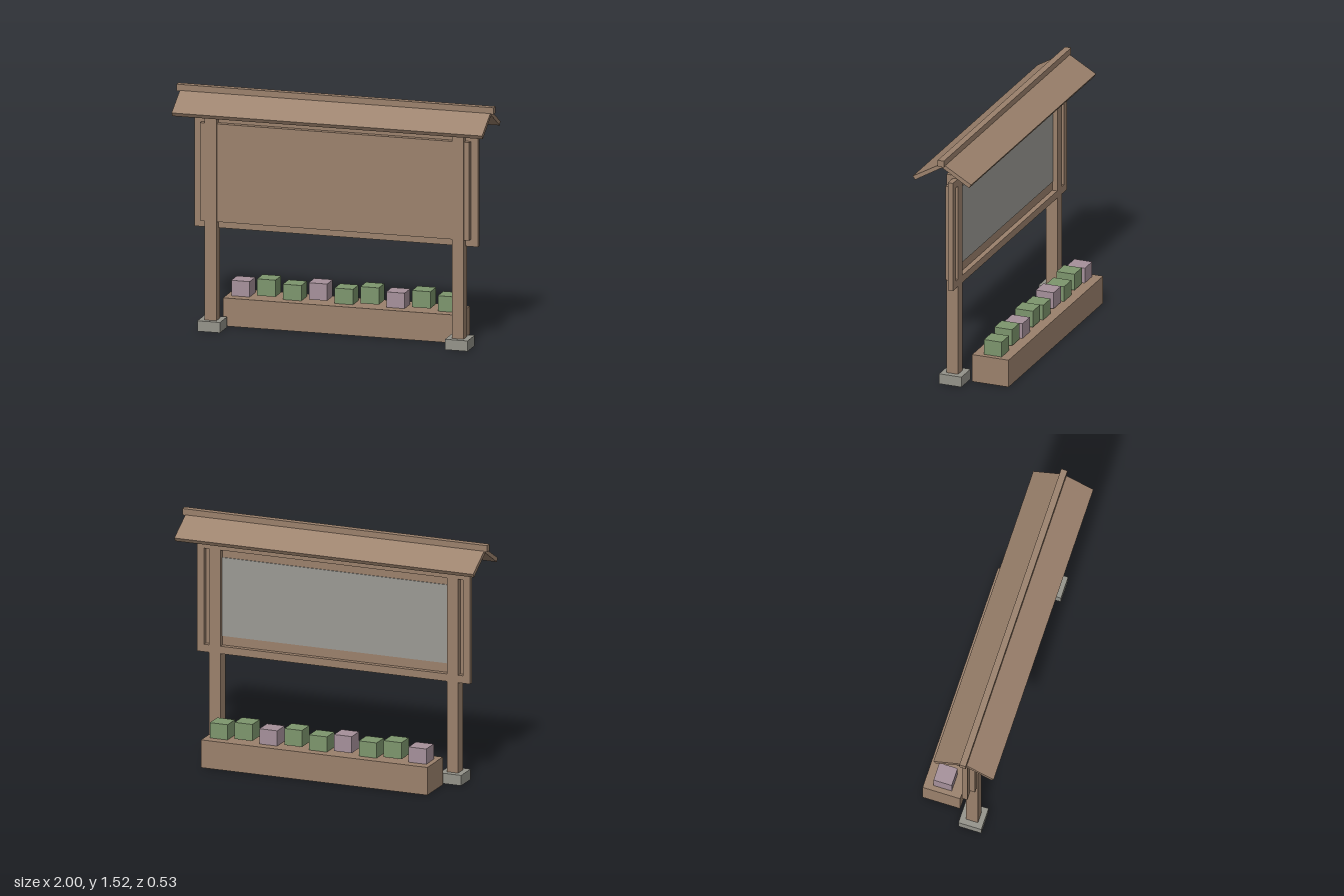
import * as THREE from 'three';

function material(name, color) {
  const m = new THREE.MeshStandardMaterial({ color });
  m.name = name;
  return m;
}

export function createModel() {
  const model = new THREE.Group();
  model.name = 'noticeBoard';
  const wood = material('brown wood', 0x9b816c);
  const stone = material('grey stone', 0x94938a);
  const sheet = material('grey sheet', 0x9b9a94);
  const leaf = material('leaf green', 0x7d966d);
  const bloom = material('dusty pink', 0xa6919b);

  // Box given by its lower and upper limits on each axis
  function box(name, mat, [x0, x1], [y0, y1], [z0, z1]) {
    const mesh = new THREE.Mesh(new THREE.BoxGeometry(x1 - x0, y1 - y0, z1 - z0), mat);
    mesh.position.set((x0 + x1) / 2, (y0 + y1) / 2, (z0 + z1) / 2);
    mesh.name = name;
    model.add(mesh);
    return mesh;
  }

  // Posts, footings and frame stiles on both sides
  for (const [side, s] of [['left', 1], ['right', -1]]) {
    const span = (a, b) => (s > 0 ? [a, b] : [-b, -a]);
    box(side + 'Footing', stone, span(0.71, 0.853), [0, 0.065], [0, 0.146]);
    box(side + 'Post', wood, span(0.743, 0.817), [0.06, 1.355], [0.037, 0.113]);
    box(side + 'FrameStile', wood, span(0.85, 0.895), [0.635, 1.335], [0.038, 0.071]);
  }

  // Board, its frame rails and the display sheet on the back
  box('board', wood, [-0.85, 0.85], [0.68, 1.29], [0.07, 0.105]);
  box('bottomRail', wood, [-0.85, 0.85], [0.635, 0.682], [0.038, 0.071]);
  box('topRail', wood, [-0.85, 0.85], [1.288, 1.335], [0.038, 0.071]);
  box('displaySheet', sheet, [-0.745, 0.745], [0.74, 1.235], [0.065, 0.0705]);

  // Pitched roof slabs with a ridge beam
  const section = new THREE.Shape([
    [0, 1.49], [0.191, 1.38], [0.177, 1.357], [0, 1.463], [-0.177, 1.357], [-0.191, 1.38],
  ].map(([z, y]) => new THREE.Vector2(z, y)));
  const roofGeometry = new THREE.ExtrudeGeometry(section, { depth: 1.96, bevelEnabled: false });
  roofGeometry.translate(0, 0, -0.98);
  roofGeometry.rotateY(Math.PI / 2);
  const roof = new THREE.Mesh(roofGeometry, wood);
  roof.position.z = 0.074;
  roof.name = 'roof';
  model.add(roof);
  box('ridgeBeam', wood, [-1, 1], [1.475, 1.516], [0.054, 0.094]);

  // Planter with a row of alternating plants
  box('planter', wood, [-0.742, 0.742], [0, 0.175], [-0.263, -0.024]);
  for (let i = 0; i < 9; i++) {
    const x = (i - 4) * 0.163;
    const y = i % 2 ? 0.188 : 0.167;
    const pink = i % 3 === 0;
    box(pink ? 'flower' : 'shrub', pink ? bloom : leaf,
      [x - 0.058, x + 0.058], [y, y + 0.104], [-0.204, -0.088]);
  }
  return model;
}
